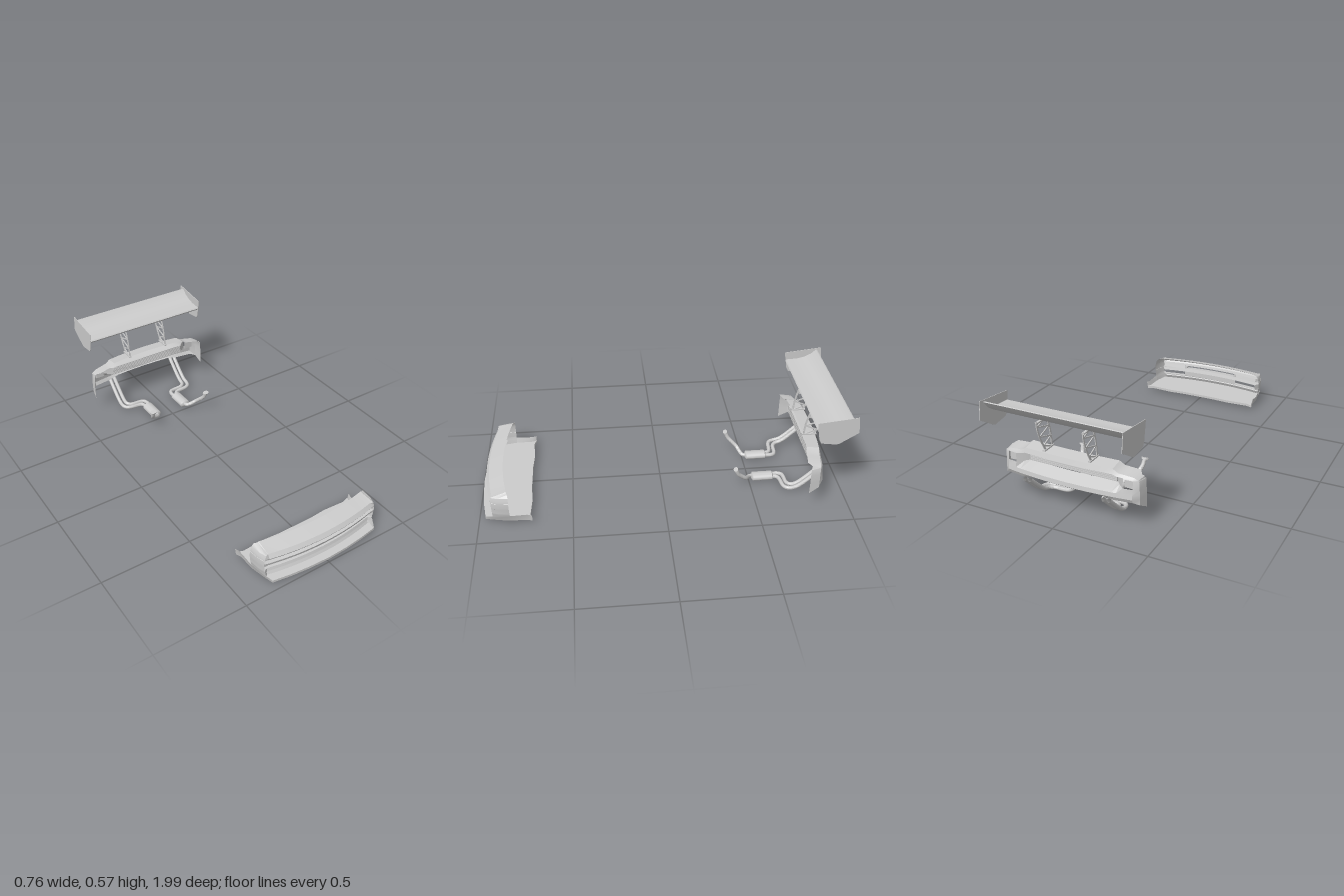
import * as THREE from 'three';
import { toCreasedNormals, mergeGeometries } from 'three/addons/utils/BufferGeometryUtils.js';

const material = new THREE.MeshStandardMaterial({ color: 0xcccccc, side: THREE.DoubleSide });
const V = (x, y, z) => new THREE.Vector3(x, y, z);

function add(parent, name, geometry, crease = 0.6) {
  const mesh = new THREE.Mesh(toCreasedNormals(geometry, crease), material);
  mesh.name = name;
  parent.add(mesh);
  return mesh;
}

// Mirrored sheet: rows of points from the centre line to the +x side.
function sheet(rows, skip = () => false, flip = false) {
  const n = rows[0].length, cols = 2 * n - 1, pos = [], index = [];
  rows.forEach((row, r) => {
    for (let c = 0; c < cols; c++) {
      const k = c - n + 1, p = row[Math.abs(k)];
      pos.push(k < 0 ? -p[0] : p[0], p[1], p[2]);
      if (r === rows.length - 1 || c === cols - 1) continue;
      if (skip(r, k < 0 ? -k - 1 : k)) continue;
      const a = r * cols + c, b = a + cols;
      if (flip) index.push(a, b + 1, b, a, a + 1, b + 1);
      else index.push(a, b, b + 1, a, b + 1, a + 1);
    }
  });
  const g = new THREE.BufferGeometry();
  g.setAttribute('position', new THREE.Float32BufferAttribute(pos, 3));
  g.setIndex(index);
  g.computeVertexNormals();
  return g;
}

// Side profile of [z, y] points given thickness along x.
function sideProfile(points, width, x = 0) {
  const shape = new THREE.Shape(points.map(([z, y]) => new THREE.Vector2(-z, y)));
  const g = new THREE.ExtrudeGeometry(shape, { depth: width, bevelEnabled: false });
  return g.rotateY(Math.PI / 2).translate(x - width / 2, 0, 0);
}

function box(w, h, d, x, y, z) {
  return new THREE.BoxGeometry(w, h, d).translate(x, y, z);
}

// Straight bar between two points.
function bar(a, b, w, d) {
  const dir = b.clone().sub(a);
  const g = new THREE.BoxGeometry(w, dir.length(), d);
  g.applyQuaternion(new THREE.Quaternion().setFromUnitVectors(V(0, 1, 0), dir.normalize()));
  return g.translate((a.x + b.x) / 2, (a.y + b.y) / 2, (a.z + b.z) / 2);
}

function frontBumper() {
  const group = new THREE.Group();
  group.name = 'frontBumper';
  const xs = [0, 0.06, 0.12, 0.18, 0.25, 0.322];
  // y, front z at the centre, half width
  const profile = [
    [0.188, 0.875, 0.345], [0.168, 0.952, 0.355], [0.147, 0.967, 0.362], [0.138, 0.962, 0.363],
    [0.137, 0.925, 0.364], [0.119, 0.92, 0.365], [0.114, 0.962, 0.365], [0.099, 0.958, 0.364],
    [0.098, 0.915, 0.363], [0.07, 0.915, 0.36], [0.068, 0.947, 0.36], [0.052, 0.952, 0.355],
    [0.048, 0.945, 0.354], [0.028, 0.955, 0.35]];
  const rows = profile.map(([y, z, w], i) => {
    const row = xs.map(x => [x, y, z - 0.034 * (x / 0.322) ** 2]);
    const top = i === 0;
    row.push([w - 0.018, y - (top ? 0.004 : 0), top ? 0.84 : 0.925]);
    row.push([w - 0.006, y - (top ? 0.006 : 0), top ? 0.836 : 0.89]);
    row.push([w, y - (top ? 0.008 : 0), 0.832]);
    return row;
  });
  add(group, 'frontBumperShell',
    sheet(rows, (r, c) => (r === 4 && c < 3) || (r === 8 && c >= 3 && c < 5)), 0.5);

  // Flat splitter with a bowed front and a scalloped rear edge
  const half = [[0, 0.996], [0.12, 0.991], [0.22, 0.981], [0.322, 0.965], [0.33, 0.93], [0.35, 0.84],
    [0.352, 0.74], [0.362, 0.715], [0.325, 0.727], [0.2, 0.72], [0.1, 0.727], [0, 0.727]];
  const outline = [...half, ...half.slice(1, -1).reverse().map(([x, z]) => [-x, z])];
  const shape = new THREE.Shape(outline.map(([x, z]) => new THREE.Vector2(x, -z)));
  add(group, 'splitter', new THREE.ExtrudeGeometry(shape, { depth: 0.014, bevelEnabled: false })
    .rotateX(-Math.PI / 2).translate(0, 0.016, 0), 0.4);

  // Flared fins along the splitter sides
  for (const s of [-1, 1]) {
    const fin = [[0.322, 0.965, 0.325, 0.034], [0.333, 0.925, 0.347, 0.05], [0.35, 0.84, 0.364, 0.058],
      [0.352, 0.74, 0.36, 0.058], [0.362, 0.715, 0.369, 0.058]];
    const pos = [], idx = [];
    fin.forEach(([x, z, xt, yt], i) => {
      pos.push(s * x, 0.016, z, s * xt, yt, z);
      if (i) {
        const a = 2 * i - 2;
        idx.push(...(s > 0 ? [a, a + 2, a + 3, a, a + 3, a + 1] : [a, a + 3, a + 2, a, a + 1, a + 3]));
      }
    });
    const g = new THREE.BufferGeometry();
    g.setAttribute('position', new THREE.Float32BufferAttribute(pos, 3));
    g.setIndex(idx);
    g.computeVertexNormals();
    add(group, 'splitterFin', g);
    add(group, 'slotBolt', new THREE.CylinderGeometry(0.009, 0.009, 0.03, 10)
      .rotateX(Math.PI / 2).translate(s * 0.173, 0.128, 0.92));
  }
  return group;
}

function rearBumper() {
  const group = new THREE.Group();
  group.name = 'rearBumper';
  const xs = [0, 0.1, 0.18, 0.24, 0.265, 0.295, 0.343];
  const drop = [0, 0.001, 0.002, 0.004, 0.022, 0.026, 0.033, 0.045, 0.05];
  // y, rear z, how far the row follows the dropped shoulder, recess depth
  const profile = [
    [0.314, -0.785, 1, 0], [0.304, -0.855, 1, 0], [0.278, -0.864, 0.5, 0], [0.265, -0.866, 0.2, 0.062],
    [0.215, -0.87, 0, 0.062], [0.187, -0.875, 0, 0], [0.165, -0.878, 0, 0], [0.145, -0.868, 0, 0]];
  const rows = profile.map(([y, z, k, deep], i) => {
    const bottom = i === 7;
    const row = xs.map((x, c) => {
      const inset = deep * (c <= 3 ? 1 : c === 4 ? 0.5 : 0);
      const rise = bottom && c < 3 ? 0.012 : 0;
      return [x, y - drop[c] * k + rise, z + 0.03 * (x / 0.36) ** 2 + inset];
    });
    const out = 0.002 * Math.min(i, 5);
    row.push([0.362 + out, y - drop[7] * k - (bottom ? 0.012 : 0), i ? -0.825 : -0.78]);
    row.push([0.371 + out, y - drop[8] * k - (bottom ? 0.043 : 0), i ? -0.772 : -0.775]);
    return row;
  });
  add(group, 'rearBumperShell',
    sheet(rows, (r, c) => r === 3 && (c < 3 || c === 5), true), 0.5);

  // Horizontal slats in the recessed grille
  const slats = [];
  for (let i = 0; i < 6; i++) slats.push(box(0.484, 0.0065, 0.012, 0, 0.2195 + i * 0.0086, -0.8));
  add(group, 'grilleSlats', mergeGeometries(slats));

  // Lamp pockets sunk into the corners
  for (const s of [-1, 1]) {
    add(group, 'lampPocket', box(0.05, 0.052, 0.004, s * 0.319, 0.236, -0.825));
  }
  return group;
}

function rearWing() {
  const group = new THREE.Group();
  group.name = 'rearWing';
  add(group, 'wingBlade', sideProfile([[-0.78, 0.499], [-0.79, 0.487], [-0.82, 0.481], [-0.86, 0.484],
    [-0.9, 0.499], [-0.935, 0.524], [-0.964, 0.56], [-0.957, 0.562], [-0.93, 0.537], [-0.893, 0.518],
    [-0.85, 0.508], [-0.81, 0.506], [-0.785, 0.505]], 0.748), 0.5);
  for (const s of [-1, 1]) {
    add(group, 'endPlate', sideProfile([[-0.773, 0.55], [-0.987, 0.573], [-0.998, 0.48],
      [-0.9, 0.418], [-0.885, 0.414], [-0.802, 0.426], [-0.79, 0.45]], 0.003, s * 0.375));

    // Truss strut: two bowed rails joined by zigzag braces
    const x = s * 0.125, front = [], back = [], parts = [];
    for (let i = 0; i <= 6; i++) {
      const t = i / 6, y = 0.312 + 0.172 * t;
      front.push(V(x, y, -0.785 - 0.035 * t * t));
      back.push(V(x, y, -0.838 - 0.065 * Math.sin(t * Math.PI / 2)));
    }
    for (let i = 0; i < 6; i++) {
      parts.push(bar(front[i], front[i + 1], 0.005, 0.009), bar(back[i], back[i + 1], 0.005, 0.009));
      if (i % 2) parts.push(bar(back[i], front[i + 1], 0.0045, 0.007));
      else parts.push(bar(front[i], back[i + 1], 0.0045, 0.007));
    }
    parts.push(box(0.013, 0.007, 0.08, x, 0.314, -0.815), box(0.013, 0.007, 0.09, x, 0.478, -0.86));
    add(group, 'wingStrut', mergeGeometries(parts));
  }
  return group;
}

function exhaust(s) {
  const group = new THREE.Group();
  group.name = s > 0 ? 'leftExhaust' : 'rightExhaust';
  const pipe = (name, pts, r) => {
    const curve = new THREE.CatmullRomCurve3(pts.map(([x, y, z]) => V(s * x, y, z)), false, 'centripetal');
    add(group, name, new THREE.TubeGeometry(curve, 48, r, 12), 1);
  };
  // Inlet pipe and its flange
  pipe('inletPipe', [[0.1, 0.024, -0.5], [0.1, 0.026, -0.515], [0.105, 0.028, -0.5], [0.125, 0.036, -0.488],
    [0.155, 0.055, -0.472], [0.172, 0.085, -0.44], [0.18, 0.105, -0.422], [0.185, 0.14, -0.407]].slice(1), 0.011);
  const flange = add(group, 'inletFlange', new THREE.CylinderGeometry(0.013, 0.013, 0.008, 16).scale(1.5, 1, 1));
  flange.position.set(s * 0.185, 0.139, -0.407);
  flange.rotation.x = 0.35;

  // Oval muffler with tapered ends
  const profile = [[0, -0.064], [0.35, -0.064], [0.9, -0.057], [1, -0.054], [1, 0.054], [0.9, 0.057], [0.35, 0.064], [0, 0.064]];
  add(group, 'muffler', new THREE.LatheGeometry(profile.map(([x, y]) => new THREE.Vector2(x, y)), 24)
    .rotateX(Math.PI / 2).scale(0.032, 0.022, 1).translate(s * 0.103, 0.023, -0.577));

  // Twin tail pipes
  pipe('outerTailPipe', [[0.117, 0.024, -0.625], [0.117, 0.024, -0.648], [0.128, 0.024, -0.664], [0.15, 0.024, -0.67],
    [0.205, 0.025, -0.677], [0.225, 0.026, -0.69], [0.234, 0.028, -0.715], [0.234, 0.036, -0.745],
    [0.234, 0.056, -0.775], [0.234, 0.145, -0.87]], 0.011);
  pipe('innerTailPipe', [[0.09, 0.024, -0.625], [0.09, 0.024, -0.668], [0.1, 0.024, -0.688], [0.122, 0.024, -0.695],
    [0.175, 0.025, -0.699], [0.194, 0.027, -0.708], [0.204, 0.03, -0.725], [0.205, 0.037, -0.747],
    [0.205, 0.056, -0.775], [0.205, 0.145, -0.87]], 0.011);
  return group;
}

export function createModel() {
  const model = new THREE.Group();
  model.name = 'bodyKit';
  model.add(frontBumper(), rearBumper(), rearWing(), exhaust(1), exhaust(-1));
  return model;
}
